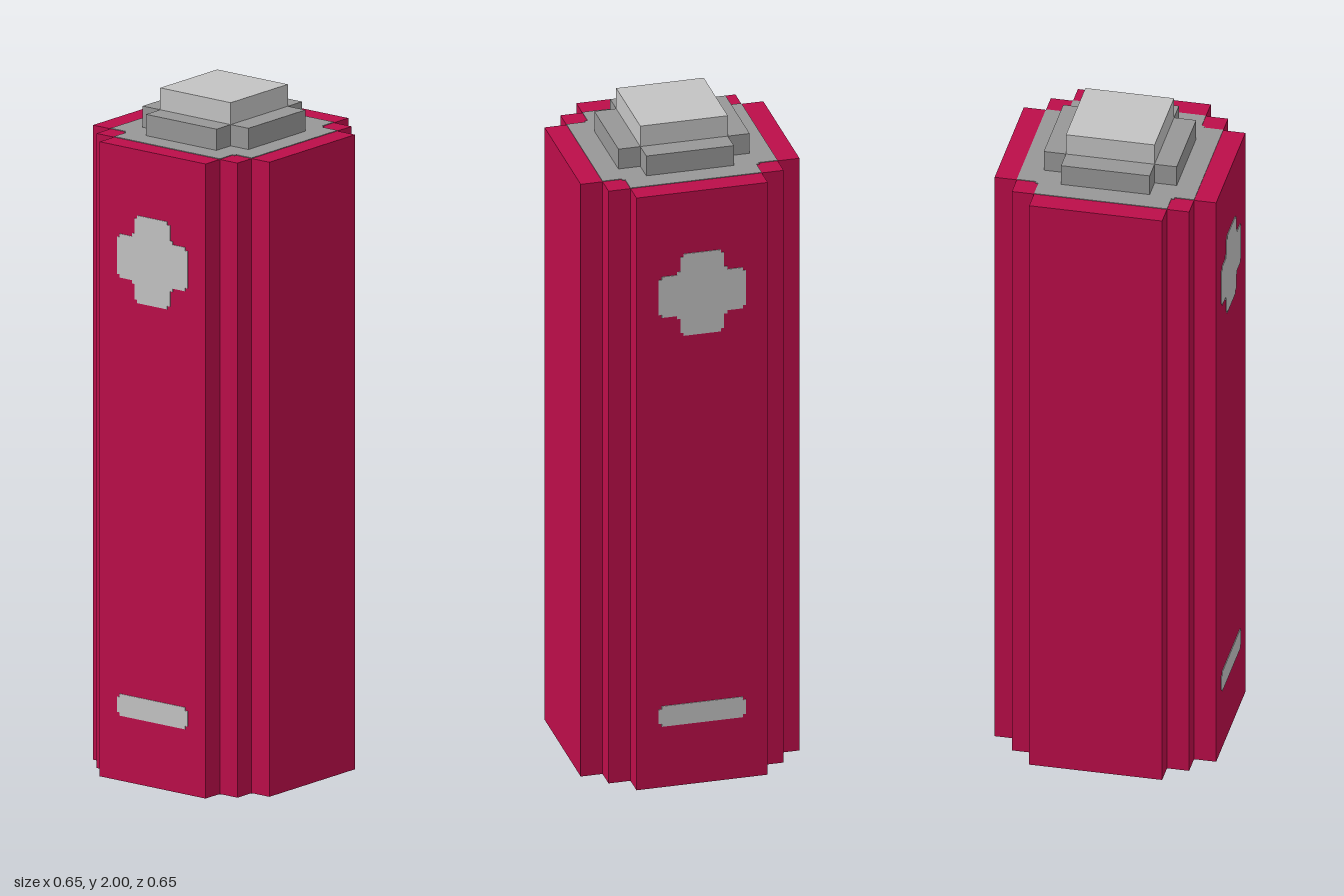
import * as THREE from 'three';

const U = 2 / 31; // size of one block

// Outline with four-fold symmetry from the points of one quadrant, in blocks
function fourFold(quadrant) {
  const points = [];
  let q = quadrant;
  for (let i = 0; i < 4; i++) {
    points.push(...q.map(([x, y]) => new THREE.Vector2(x * U, y * U)));
    q = q.map(([x, y]) => [-y, x]);
  }
  return new THREE.Shape(points);
}

// Upright prism between two heights
function prism(name, shape, bottom, top, material) {
  const geometry = new THREE.ExtrudeGeometry(shape, { depth: top - bottom, bevelEnabled: false });
  geometry.rotateX(-Math.PI / 2).translate(0, bottom, 0);
  const mesh = new THREE.Mesh(geometry, material);
  mesh.name = name;
  return mesh;
}

export function createModel() {
  const red = new THREE.MeshStandardMaterial({ color: 0xbb0d49 });
  red.name = 'crimson casing';
  const gray = new THREE.MeshStandardMaterial({ color: 0x979797 });
  gray.name = 'steel gray';
  const light = new THREE.MeshStandardMaterial({ color: 0xc3c3c3 });
  light.name = 'light gray';

  const model = new THREE.Group();
  model.name = 'battery';
  const lift = 0.002; // thickness of painted plates

  // Casing with stepped corners
  const casing = fourFold([[5, 3], [4, 3], [4, 4], [3, 4], [3, 5]]);
  model.add(prism('casing', casing, lift, 29 * U, red));

  // Metal end plates
  const plate = fourFold([[4, 3], [3.13, 3], [3.13, 3.13], [3, 3.13], [3, 4]]);
  model.add(prism('topPlate', plate, 29 * U, 29 * U + lift, gray));
  model.add(prism('bottomPlate', plate, 0, lift, gray));

  // Stepped terminal
  model.add(prism('terminalBase', fourFold([[3, 2], [2, 2], [2, 3]]), 29 * U, 30 * U, gray));
  model.add(prism('terminalCap', fourFold([[2, 2]]), 30 * U, 31 * U, light));

  // Plus and minus signs on front and back
  const plus = fourFold([
    [2, 0.85], [1.85, 0.85], [1.85, 1], [1.15, 1], [1.15, 1.15],
    [1, 1.15], [1, 1.85], [0.85, 1.85], [0.85, 2],
  ]);
  const minus = new THREE.Shape([
    [2, -0.35], [2, 0.35], [1.85, 0.35], [1.85, 0.5], [-1.85, 0.5], [-1.85, 0.35],
    [-2, 0.35], [-2, -0.35], [-1.85, -0.35], [-1.85, -0.5], [1.85, -0.5], [1.85, -0.35],
  ].map(([x, y]) => new THREE.Vector2(x * U, y * U)));

  for (const [side, angle] of [['front', 0], ['back', Math.PI]]) {
    const signs = new THREE.Group();
    signs.name = side + 'Signs';
    signs.rotation.y = angle;
    for (const [name, shape, y] of [['plusSign', plus, 24], ['minusSign', minus, 3.5]]) {
      const geometry = new THREE.ExtrudeGeometry(shape, { depth: lift, bevelEnabled: false });
      const sign = new THREE.Mesh(geometry, light);
      sign.name = name;
      sign.position.set(0, y * U, 5 * U);
      signs.add(sign);
    }
    model.add(signs);
  }
  return model;
}
